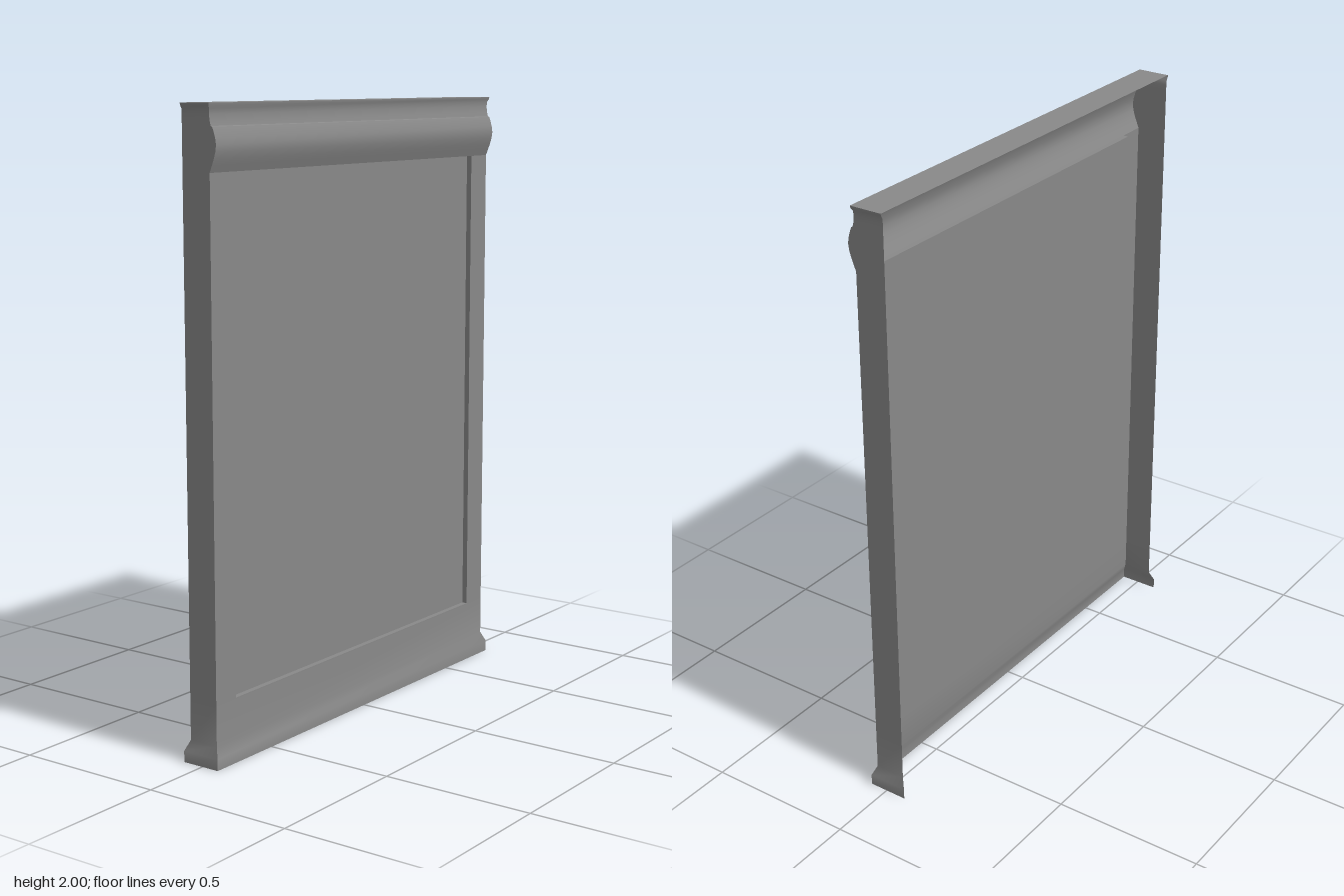
import * as THREE from 'three';

const material = new THREE.MeshStandardMaterial({ color: 0x898989, side: THREE.DoubleSide });

// Profile rows, bottom to top: [y, front x, back x, half width]
const FRONT = 0.046, BACK = -0.057, HALF = 0.75;
const foot = [
  [0, 0.061, -0.072, 0.765], [0.036, 0.061, -0.072, 0.765],
  [0.07, FRONT, BACK, HALF], [0.2, FRONT, BACK, HALF],
];
const bead = [
  [1.8, FRONT, BACK, HALF], [1.82, 0.054, BACK, HALF], [1.84, 0.062, BACK, HALF],
  [1.86, 0.068, BACK, HALF], [1.88, 0.071, BACK, HALF], [1.9, 0.068, BACK, HALF],
  [1.92, 0.062, BACK, HALF], [1.932, 0.057, BACK, HALF],
];
const cornice = [
  [1.934, 0.052, BACK, HALF], [1.95, 0.048, BACK, HALF], [1.968, FRONT, BACK, HALF],
  [1.983, 0.047, BACK, 0.751], [1.993, 0.051, BACK, 0.757], [2, 0.052, BACK, 0.758],
];

// Sheet lofted through pairs of points (left edge, right edge), seen from outside
function sheet(name, pairs) {
  const index = [];
  for (let i = 0; i < pairs.length - 1; i++) {
    const a = i * 2;
    index.push(a, a + 1, a + 3, a, a + 3, a + 2);
  }
  const geometry = new THREE.BufferGeometry();
  geometry.setAttribute('position', new THREE.Float32BufferAttribute(pairs.flat(2), 3));
  geometry.setIndex(index);
  geometry.computeVertexNormals();
  const mesh = new THREE.Mesh(geometry, material);
  mesh.name = name;
  return mesh;
}

export function createModel() {
  const model = new THREE.Group();
  model.name = 'panelledCounterFront';

  // Front rails with the moulded profile; a crisp step divides bead and cornice
  const across = ([y, x, , z]) => [[x, y, z], [x, y, -z]];
  model.add(sheet('bottomRail', foot.map(across)));
  model.add(sheet('topBead', bead.map(across)));
  model.add(sheet('beadStep', [bead[bead.length - 1], cornice[0]].map(across)));
  model.add(sheet('cornice', cornice.map(across)));

  // Stiles beside the panel
  const pz = 0.655, y0 = 0.2, y1 = 1.8, px = FRONT - 0.018;
  for (const [a, b, side] of [[HALF, pz, 'left'], [-pz, -HALF, 'right']]) {
    model.add(sheet(side + 'Stile', [y0, y1].map((y) => [[FRONT, y, a], [FRONT, y, b]])));
  }

  // Recessed panel and its four reveals
  model.add(sheet('recessedPanel', [y0, y1].map((y) => [[px, y, pz], [px, y, -pz]])));
  const corners = [[y0, pz], [y0, -pz], [y1, -pz], [y1, pz]];
  corners.forEach(([ya, za], i) => {
    const [yb, zb] = corners[(i + 1) % 4];
    model.add(sheet('panelReveal', [
      [[FRONT, ya, za], [FRONT, yb, zb]],
      [[px, ya, za], [px, yb, zb]],
    ]));
  });

  // End boards follow the same profile; the back stays open
  const rows = [...foot, ...bead, ...cornice];
  model.add(sheet('leftEnd', rows.map(([y, x, b, z]) => [[b, y, z], [x, y, z]])));
  model.add(sheet('rightEnd', rows.map(([y, x, b, z]) => [[x, y, -z], [b, y, -z]])));

  // Top board
  const [ty, tx, tb, tz] = cornice[cornice.length - 1];
  model.add(sheet('topBoard', [[[tb, ty, tz], [tx, ty, tz]], [[tb, ty, -tz], [tx, ty, -tz]]]));
  return model;
}
